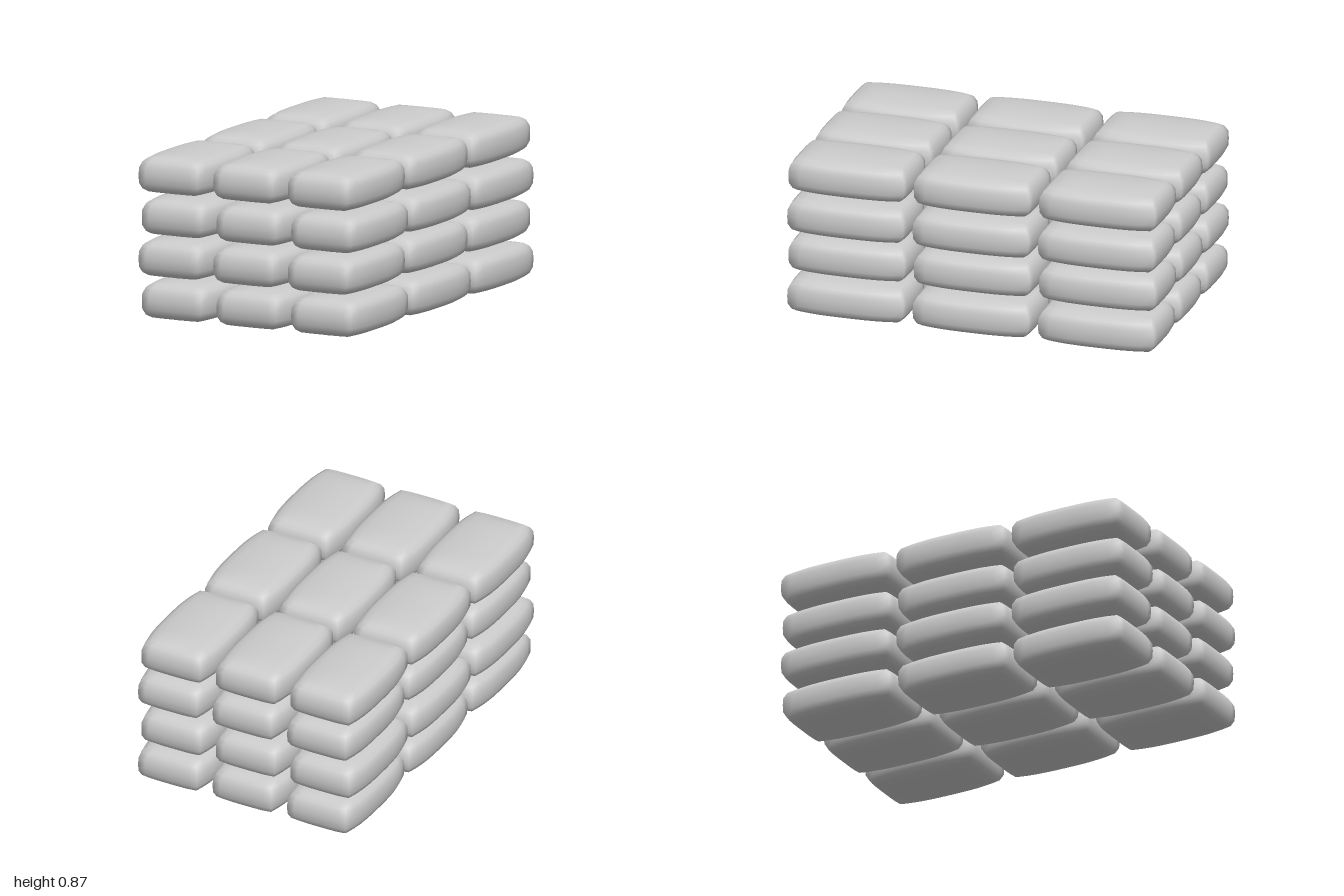
import * as THREE from 'three';
import { mergeVertices } from 'three/addons/utils/BufferGeometryUtils.js';

// Height, half width and half length of the sack at each ring, middle to shoulder
const RINGS = [
  [0, 0.205, 0.322],
  [0.04, 0.204, 0.319],
  [0.071, 0.19, 0.302],
  [0.088, 0.162, 0.28],
];

// A subdivided box puffed into a filled sack
function sackGeometry() {
  const box = new THREE.BoxGeometry(2, 2, 2, 8, 6, 10);
  box.deleteAttribute('uv');
  box.deleteAttribute('normal');
  const geo = mergeVertices(box);
  const p = geo.attributes.position;
  for (let i = 0; i < p.count; i++) {
    const u = p.getX(i), v = p.getY(i), w = p.getZ(i);
    const level = Math.round(Math.abs(v) * 3);
    const [h, halfX, halfZ] = RINGS[level];
    // top and bottom swell into a shallow dome
    const dome = level === 3 ? 0.017 * (1 - u * u) * (1 - Math.abs(w) ** 6) : 0;
    p.setXYZ(i,
      halfX * u * (1 - 0.16 * Math.abs(w) ** 3), // long sides narrow to the ends
      Math.sign(v) * (h + dome),
      halfZ * w * (1 - 0.025 * u ** 4));
  }
  geo.computeVertexNormals();
  return geo;
}

export function createModel() {
  const group = new THREE.Group();
  group.name = 'sackStack';
  const geo = sackGeometry();
  const mat = new THREE.MeshStandardMaterial({ color: 0xcccccc, roughness: 0.9 });

  // Four layers of 3 x 3 sacks, shifted sideways in turn
  for (let layer = 0; layer < 4; layer++) {
    const row = new THREE.Group();
    row.name = `layer${layer + 1}`;
    row.position.set(layer % 2 ? -0.01 : 0.009, 0.11 + layer * 0.219, 0);
    for (let i = -1; i <= 1; i++) {
      for (let k = -1; k <= 1; k++) {
        const sack = new THREE.Mesh(geo, mat);
        sack.name = 'sack';
        sack.position.set(i * 0.436, 0, k * 0.678);
        row.add(sack);
      }
    }
    group.add(row);
  }
  return group;
}
